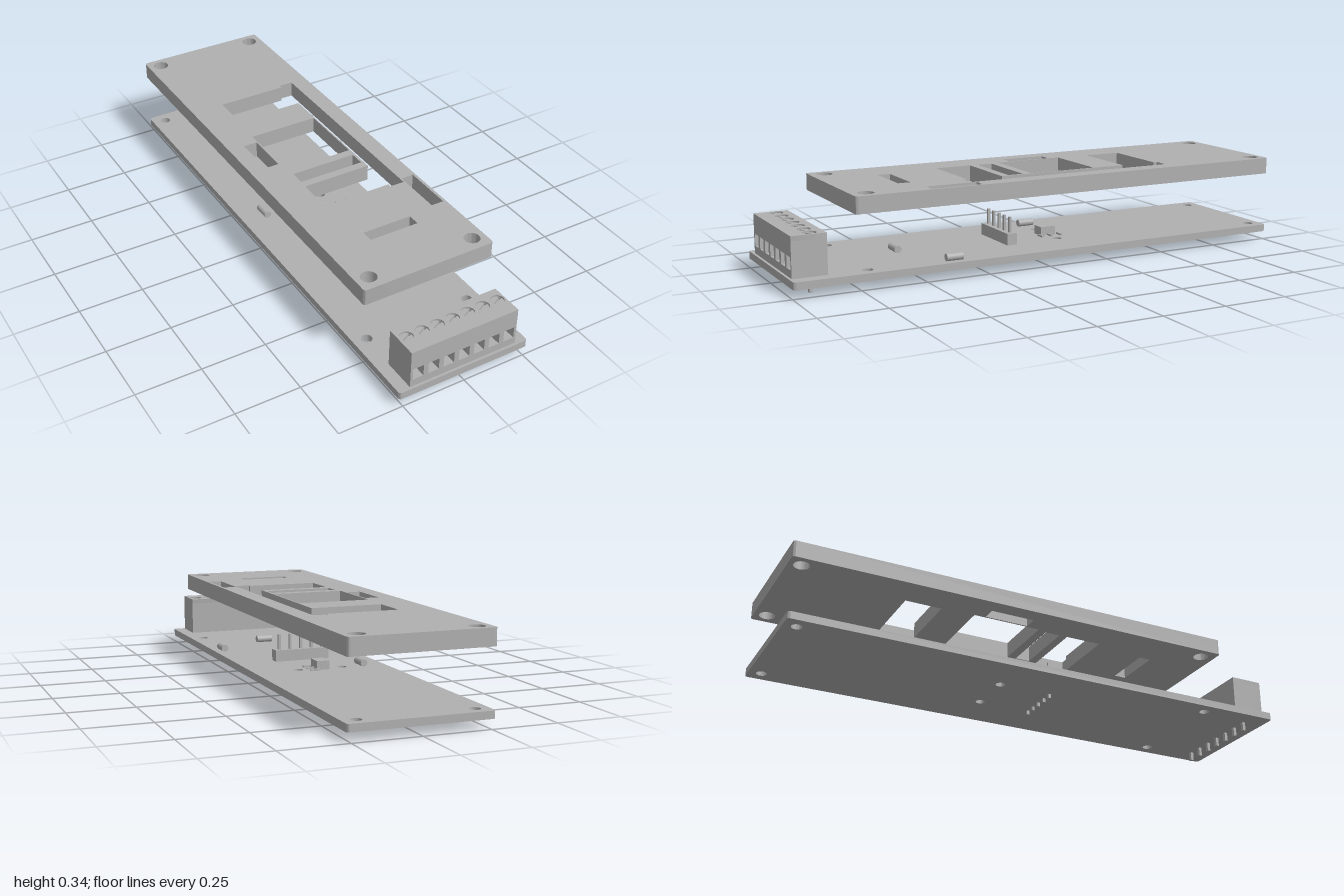
import * as THREE from 'three';
import { toCreasedNormals } from 'three/addons/utils/BufferGeometryUtils.js';

const grey = new THREE.MeshStandardMaterial({ color: 0xb0b0b0 });
grey.name = 'plain grey';

// Closed path helpers; plan paths take (x, z)
const poly = (pts) => new THREE.Path(pts.map(([x, z]) => new THREE.Vector2(x, -z)));
const rect = (x0, x1, z0, z1) => poly([[x0, z0], [x1, z0], [x1, z1], [x0, z1]]);
const circle = (x, z, r) => new THREE.Path().absarc(x, -z, r, 0, Math.PI * 2, true);

function roundedOutline(x0, x1, z0, z1, r) {
  const s = new THREE.Shape();
  s.absarc(x1 - r, -z0 - r, r, 0, Math.PI / 2);
  s.absarc(x0 + r, -z0 - r, r, Math.PI / 2, Math.PI);
  s.absarc(x0 + r, -z1 + r, r, Math.PI, Math.PI * 1.5);
  s.absarc(x1 - r, -z1 + r, r, Math.PI * 1.5, Math.PI * 2);
  s.closePath();
  return s;
}

function extrude(shape, depth) {
  return toCreasedNormals(
    new THREE.ExtrudeGeometry(shape, { depth, bevelEnabled: false, curveSegments: 12 }), 0.6);
}

// Horizontal plate between heights y0 and y1 with cut-outs
function plate(outline, holes, y0, y1) {
  outline.holes.push(...holes);
  return extrude(outline, y1 - y0).rotateX(-Math.PI / 2).translate(0, y0, 0);
}

function add(parent, name, geometry) {
  const mesh = new THREE.Mesh(geometry, grey);
  mesh.name = name;
  parent.add(mesh);
  return mesh;
}

function box(parent, name, x0, x1, y0, y1, z0, z1) {
  const g = new THREE.BoxGeometry(x1 - x0, y1 - y0, z1 - z0);
  return add(parent, name, g.translate((x0 + x1) / 2, (y0 + y1) / 2, (z0 + z1) / 2));
}

function group(parent, name) {
  const g = new THREE.Group();
  g.name = name;
  parent.add(g);
  return g;
}

const TOP = 0.063; // upper face of the circuit board
const cornerHoles = (r) =>
  [-0.213, 0.213].flatMap((x) => [-0.951, 0.713].map((z) => circle(x, z, r)));

function addTerminalBlock(model) {
  const block = group(model, 'terminalBlock');
  const [x0, x1, z0, z1] = [-0.218, 0.217, 0.86, 0.99];
  const xs = Array.from({ length: 7 }, (_, i) => -0.187 + i * 0.0622);
  const zc = 0.912, zMid = 0.935, yLid = 0.195;

  box(block, 'terminalBack', x0, x1, TOP, yLid, z0, zMid);

  // Front wall with square wire openings
  const front = new THREE.Shape([[x0, TOP], [x1, TOP], [x1, yLid], [x0, yLid]]
    .map(([x, y]) => new THREE.Vector2(x, y)));
  for (const x of xs) front.holes.push(rect(x - 0.0215, x + 0.0215, -0.138, -0.092));
  add(block, 'terminalFront', extrude(front, z1 - zMid).translate(0, 0, zMid));

  // Lid with round screw wells
  const lid = roundedOutline(x0, x1, z0, z1, 0.0005);
  add(block, 'terminalLid', plate(lid, xs.map((x) => circle(x, zc, 0.025)), yLid, 0.213));

  for (const x of xs) {
    // Slotted screw head made of two half discs
    for (const side of [0, Math.PI]) {
      const a = 0.2;
      const half = new THREE.Shape();
      half.absarc(0, 0, 0.0245, side + a, side + Math.PI - a);
      half.closePath();
      const g = extrude(half, 0.012).rotateX(-Math.PI / 2).rotateY(0.5);
      add(block, 'screwHead', g.translate(x, yLid, zc));
    }
    box(block, 'terminalPin', x - 0.0065, x + 0.0065, 0, 0.04, zc - 0.003, zc + 0.009);
  }
}

function addHeader(model) {
  const header = group(model, 'pinHeader');
  box(header, 'headerBody', -0.112, 0.112, TOP, 0.108, 0.066, 0.108);
  for (let i = -2; i <= 2; i++) {
    const x = i * 0.045;
    box(header, 'headerPin', x - 0.005, x + 0.005, 0.019, 0.168, 0.081, 0.091);
  }
}

function addSensor(model) {
  const sensor = group(model, 'sensorChip');
  box(sensor, 'sensorBody', -0.026, 0.024, TOP, 0.097, -0.15, -0.085);
  for (const z of [-0.16, -0.118, -0.078]) {
    box(sensor, 'sensorLead', 0.018, 0.054, TOP, 0.07, z - 0.004, z + 0.004);
  }
}

// Small cylindrical component lying on the board
function addCapsule(model, x, z, alongX) {
  const g = new THREE.CylinderGeometry(0.014, 0.014, 0.065, 24);
  if (alongX) g.rotateZ(Math.PI / 2);
  else g.rotateX(Math.PI / 2);
  add(model, 'cylindricalResistor', g.translate(x, TOP + 0.014, z));
}

export function createModel() {
  const model = new THREE.Group();
  model.name = 'circuitBoardAssembly';

  // Circuit board
  add(model, 'circuitBoard', plate(
    roundedOutline(-0.265, 0.265, -1, 1, 0.011),
    [...cornerHoles(0.02), circle(-0.09, -0.12, 0.018), circle(0.09, -0.12, 0.018)],
    0.035, TOP));

  // Raised cover with C-shaped channel, square window and slots
  const channel = poly([
    [-0.132, -0.53], [0.141, -0.53], [0.141, -0.545], [0.198, -0.545], [0.198, 0.304],
    [0.141, 0.304], [0.141, 0.289], [-0.132, 0.289], [-0.132, 0.146],
    [0.141, 0.146], [0.141, -0.385], [-0.132, -0.385],
  ]);
  add(model, 'coverPlate', plate(
    roundedOutline(-0.265, 0.265, -1, 0.77, 0.011),
    [
      ...cornerHoles(0.03),
      channel,
      rect(-0.14, 0.136, -0.254, 0.018),
      rect(-0.13, 0.131, 0.053, 0.113),
      rect(-0.2, -0.146, -0.21, -0.035),
      rect(0.204, 0.254, 0.282, 0.48),
      rect(-0.098, 0.098, 0.496, 0.544),
    ],
    0.275, 0.338));

  addTerminalBlock(model);
  addHeader(model);
  addSensor(model);
  addCapsule(model, 0, 0.523, true);
  addCapsule(model, 0.229, 0.385, false);
  addCapsule(model, -0.17, -0.118, false);
  return model;
}
